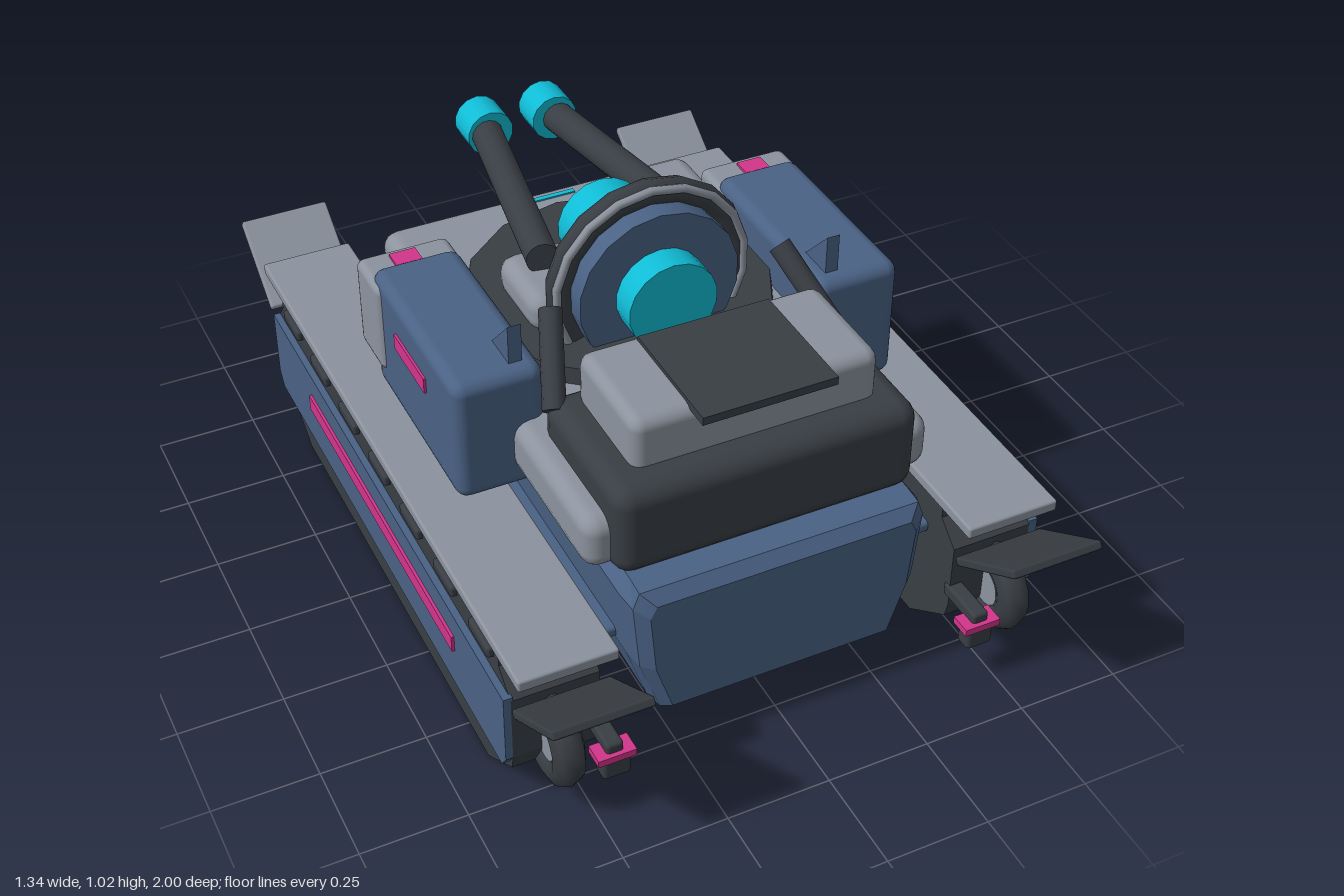
import * as THREE from 'three';
import { RoundedBoxGeometry } from 'three/addons/geometries/RoundedBoxGeometry.js';

const mat = (name, color) => {
  const m = new THREE.MeshStandardMaterial({ color });
  m.name = name;
  return m;
};

export function createModel() {
  const blue = mat('slate blue', 0x4a6285);
  const grey = mat('light grey', 0x8c939e);
  const dark = mat('charcoal', 0x393e44);
  const cyan = mat('cyan', 0x10bcd6);
  const pink = mat('magenta', 0xd2358b);
  const model = new THREE.Group();
  model.name = 'tank';

  const add = (name, geo, material, x = 0, y = 0, z = 0) => {
    const m = new THREE.Mesh(geo, material);
    m.name = name;
    m.position.set(x, y, z);
    model.add(m);
    return m;
  };
  // box given by its extents; r rounds the edges
  const box = (name, material, x0, x1, y0, y1, z0, z1, r = 0) => {
    const w = Math.abs(x1 - x0), h = y1 - y0, d = z1 - z0;
    const g = r ? new RoundedBoxGeometry(w, h, d, 2, r) : new THREE.BoxGeometry(w, h, d);
    return add(name, g, material, (x0 + x1) / 2, (y0 + y1) / 2, (z0 + z1) / 2);
  };
  // side profile of [z, y] points, extruded across x between x0 and x1
  const slab = (name, material, pts, x0, x1) => {
    const w = Math.abs(x1 - x0);
    const shape = new THREE.Shape(pts.map(([z, y]) => new THREE.Vector2(-z, y)));
    const g = new THREE.ExtrudeGeometry(shape, { depth: w, bevelEnabled: false });
    g.translate(0, 0, -w / 2).rotateY(Math.PI / 2);
    return add(name, g, material, (x0 + x1) / 2, 0, 0);
  };
  // cylinder between two points
  const rod = (name, material, a, b, r, sides = 14) => {
    const p = new THREE.Vector3(...a), q = new THREE.Vector3(...b);
    const d = q.clone().sub(p);
    const m = add(name, new THREE.CylinderGeometry(r, r, d.length(), sides), material);
    m.position.copy(p).add(q).multiplyScalar(0.5);
    m.quaternion.setFromUnitVectors(new THREE.Vector3(0, 1, 0), d.normalize());
    return m;
  };

  // Hull: lofted sections [z, topHalf, topY, midHalf, midY, lowHalf, lowY], back to front
  const sections = [
    [-0.81, 0.19, 0.43, 0.20, 0.42, 0.18, 0.37],
    [-0.63, 0.30, 0.47, 0.31, 0.45, 0.27, 0.25],
    [-0.42, 0.34, 0.485, 0.365, 0.45, 0.29, 0.125],
    [0.70, 0.34, 0.485, 0.365, 0.45, 0.30, 0.125],
    [0.745, 0.34, 0.48, 0.355, 0.44, 0.29, 0.125],
    [0.77, 0.31, 0.45, 0.325, 0.42, 0.27, 0.14],
  ];
  const rings = sections.map(([z, tx, ty, mx, my, lx, ly]) => {
    const sx = mx - (mx - lx) * 0.25, sy = ly + (my - ly) * 0.45;
    const right = [[lx, ly], [sx, sy], [mx, my], [tx, ty]];
    const left = right.map(([x, y]) => [-x, y]).reverse();
    return [...right, ...left].map(([x, y]) => [x, y, z]);
  });
  const pos = [];
  const n = rings[0].length;
  for (let i = 0; i + 1 < rings.length; i++) {
    for (let j = 0; j < n; j++) {
      const k = (j + 1) % n;
      const [a, b, c, d] = [rings[i][j], rings[i][k], rings[i + 1][k], rings[i + 1][j]];
      pos.push(...a, ...b, ...c, ...a, ...c, ...d);
    }
  }
  const back = rings[0], front = rings[rings.length - 1];
  for (let j = 1; j + 1 < n; j++) {
    pos.push(...front[0], ...front[j], ...front[j + 1]);
    pos.push(...back[0], ...back[j + 1], ...back[j]);
  }
  const hull = new THREE.BufferGeometry();
  hull.setAttribute('position', new THREE.Float32BufferAttribute(pos, 3));
  hull.computeVertexNormals();
  add('hull', hull, blue);
  box('crossPlate', blue, -0.45, 0.45, 0.275, 0.305, -0.64, 0.65, 0.01);

  // Upper deck and front housing
  box('deck', grey, -0.42, 0.42, 0.485, 0.62, -0.57, 0.655, 0.04);
  box('deckLight', cyan, -0.085, 0.085, 0.616, 0.624, -0.526, -0.512);
  box('frontHousing', dark, -0.365, 0.365, 0.475, 0.705, 0.30, 0.695, 0.045);
  box('housingCap', grey, -0.295, 0.295, 0.68, 0.825, 0.335, 0.62, 0.03);
  box('capPlate', dark, -0.16, 0.16, 0.815, 0.835, 0.36, 0.67);

  // Turret base
  const base = add('turretDisc', new THREE.CylinderGeometry(0.365, 0.375, 0.06, 14), dark, 0, 0.63, -0.07);
  base.rotation.y = Math.PI;
  box('turretBlock', grey, -0.265, 0.265, 0.64, 0.74, -0.19, 0.04, 0.04);

  // Upright ring, shield disc and energy core
  const cy = 0.77;
  const zCylinder = (r, len, sides) => new THREE.CylinderGeometry(r, r, len, sides).rotateX(Math.PI / 2);
  const ring = (R, t, sides = 18) => new THREE.TorusGeometry(R, t, 8, sides).rotateZ(Math.PI / 2);
  add('outerRing', ring(0.223, 0.031), dark, 0, cy, 0.075);
  add('ringTrim', ring(0.238, 0.011), grey, 0, cy, 0.1);
  add('shieldDisc', zCylinder(0.2, 0.08, 18), blue, 0, cy, 0.105);
  add('glowRing', ring(0.185, 0.012), cyan, 0, cy, 0.062);
  add('core', zCylinder(0.11, 0.39, 18), cyan, 0, cy, 0.02);

  for (const s of [1, -1]) {
    // Twin barrels
    rod('barrel', dark, [s * 0.19, cy, -0.08], [s * 0.092, cy, -0.66], 0.04);
    add('muzzle', zCylinder(0.06, 0.09, 14), cyan, s * 0.087, cy, -0.68);
    // Ring braces
    rod('brace', dark, [s * 0.285, 0.83, 0.18], [s * 0.35, 0.68, 0.34], 0.027, 10);

    // Side pods
    box('pod', blue, s * 0.34, s * 0.555, 0.44, 0.757, -0.24, 0.275, 0.03);
    box('podCap', grey, s * 0.335, s * 0.565, 0.50, 0.735, -0.32, -0.17, 0.02);
    box('podTopLight', pink, s * 0.425, s * 0.49, 0.733, 0.742, -0.29, -0.24);
    box('podSideLight', pink, s * 0.552, s * 0.561, 0.63, 0.67, -0.085, 0.1);
    slab('podFin', blue, [[0.235, 0.75], [0.135, 0.75], [0.235, 0.855]], s * 0.378, s * 0.41);

    // Track body, side armour and stripe
    slab('trackBody', dark, [
      [0.61, 0], [0.75, 0.1], [0.76, 0.14], [0.76, 0.31], [0.70, 0.36], [0.70, 0.41],
      [-0.71, 0.41], [-0.71, 0.36], [-0.75, 0.31], [-0.75, 0.14], [-0.74, 0.1], [-0.58, 0],
    ], s * 0.44, s * 0.645);
    slab('sideArmour', blue, [
      [0.735, 0.105], [0.76, 0.14], [0.76, 0.32], [-0.745, 0.32], [-0.745, 0.14], [-0.72, 0.105],
    ], s * 0.64, s * 0.662);
    box('sideStripe', pink, s * 0.66, s * 0.669, 0.215, 0.258, -0.465, 0.48);
    for (let i = 0; i < 7; i++) {
      const z = 0.62 - i * 0.204;
      box('trackStud', dark, s * 0.635, s * 0.66, 0.362, 0.392, z - 0.055, z + 0.055, 0.008);
    }

    // Fender with tilted mudguards
    box('fender', grey, s * 0.425, s * 0.655, 0.402, 0.432, -0.815, 0.83, 0.006);
    const guard = new RoundedBoxGeometry(0.23, 0.022, 0.25, 1, 0.006);
    add('frontMudguard', guard, dark, s * 0.54, 0.372, 0.895).rotation.x = -0.57;
    add('rearMudguard', guard, grey, s * 0.54, 0.378, -0.89).rotation.x = 0.61;

    // Wheels and tow hooks at both ends
    for (const e of [1, -1]) {
      const wz = e > 0 ? 0.77 : -0.745;
      const tyre = new THREE.TorusGeometry(0.078, 0.038, 8, 18).rotateY(Math.PI / 2);
      add('tyre', tyre, dark, s * 0.553, 0.177, wz);
      const hub = new THREE.CylinderGeometry(0.07, 0.07, 0.05, 16).rotateZ(Math.PI / 2);
      add('hub', hub, grey, s * 0.553, 0.177, wz);
      const z0 = e > 0 ? 0.74 : -0.87, z1 = e > 0 ? 0.87 : -0.74;
      box('hookArm', dark, s * 0.435, s * 0.475, 0.165, 0.20, z0, z1, 0.008);
      const hz = e * 0.855;
      box('hook', dark, s * 0.42, s * 0.487, 0.105, 0.175, hz - 0.022, hz + 0.022, 0.01);
      box('hookClip', pink, s * 0.41, s * 0.5, 0.158, 0.176, hz - 0.026, hz + 0.026);
    }
  }
  return model;
}
